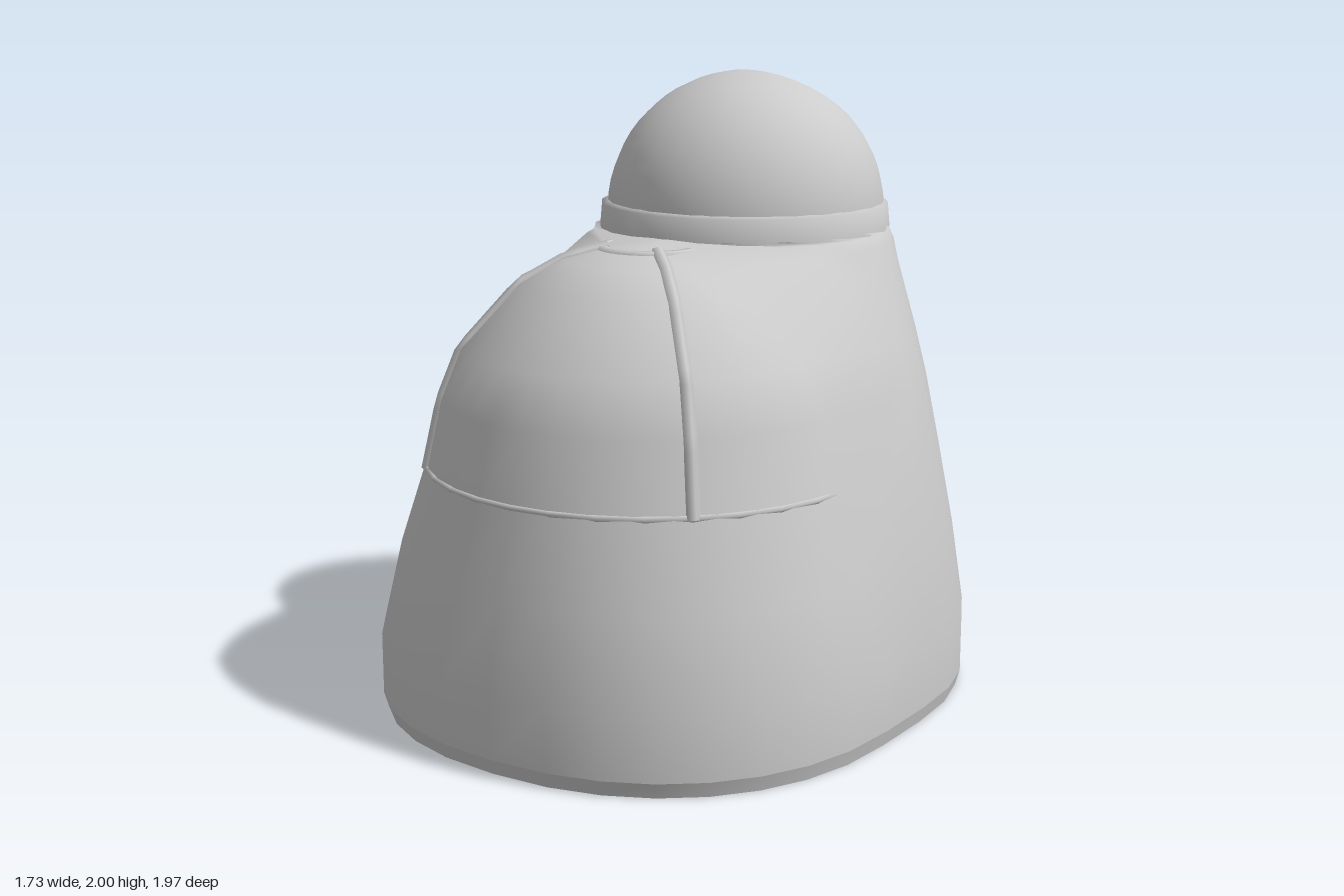
import * as THREE from 'three';

const grey = new THREE.MeshStandardMaterial({ color: 0xcccccc });
const doubleGrey = new THREE.MeshStandardMaterial({ color: 0xcccccc, side: THREE.DoubleSide });
const NB = 8, NF = 8; // segments of the back and front arcs, per half

// Outline around a front circle and a back circle, joined by their tangents
function section({ y, zf, rf, zb, rb, p = 1 }) {
  const split = Math.asin(Math.min(1, (rb - rf) / (zf - zb)));
  const pow = v => Math.sign(v) * Math.abs(v) ** p;
  const half = [];
  const arc = (z, r, from, to, n) => {
    for (let i = 0; i <= n; i++) {
      const a = from + (to - from) * i / n;
      half.push([r * pow(Math.max(0, Math.cos(a))), y, z + r * pow(Math.sin(a))]);
    }
  };
  arc(zb, rb, -Math.PI / 2, split, NB);
  arc(zf, rf, split, Math.PI / 2, NF);
  const mirrored = half.slice(1, -1).reverse().map(([x, h, z]) => [-x, h, z]);
  return [...half, ...mirrored];
}

// Skin between outlines, listed from bottom to top
function loft(rings) {
  const n = rings[0].length, index = [];
  for (let r = 0; r < rings.length - 1; r++) {
    for (let i = 0; i < n; i++) {
      const a = r * n + i, b = r * n + (i + 1) % n;
      index.push(a, a + n, b, b, a + n, b + n);
    }
  }
  const geo = new THREE.BufferGeometry();
  geo.setAttribute('position', new THREE.Float32BufferAttribute(rings.flat(2), 3));
  geo.setIndex(index);
  geo.computeVertexNormals();
  return geo;
}

// Dome profile: radius and height around the axis z = DOME_Z
const DOME_Z = 0.15;
const domeProfile = [[0.72, 0.8], [0.67, 1.02], [0.605, 1.18], [0.42, 1.38], [0.28, 1.455], [0.14, 1.488]];

export function createModel() {
  const model = new THREE.Group();
  const add = (name, geo, material = grey) => {
    const mesh = new THREE.Mesh(geo, material);
    mesh.name = name;
    model.add(mesh);
    return mesh;
  };

  // Body: rounded footprint rising into a front dome and a rear neck
  const foot = { zf: 0.12, rf: 0.865, zb: -0.12, rb: 0.865, p: 0.9 };
  const back = [[-0.17, 0.77], [-0.21, 0.705], [-0.24, 0.65], [-0.33, 0.55], [-0.36, 0.515], [-0.375, 0.495]];
  const rings = [
    { ...foot, y: 0.05 },
    { ...foot, y: 0.25 },
    { y: 0.53, zf: 0.135, rf: 0.8, zb: -0.145, rb: 0.82, p: 0.94 },
    ...domeProfile.map(([rf, y], i) => ({ y, zf: DOME_Z, rf, zb: back[i][0], rb: back[i][1] })),
    { y: 1.5, zf: 0.1, rf: 0, zb: -0.385, rb: 0.485 },
  ];
  add('body', loft(rings.map(section)));

  // Bevelled base rim and flat underside
  const rimTop = section({ ...foot, y: 0.05 });
  const rimBottom = rimTop.map(([x, , z]) => [x * 0.985, 0, z * 0.985]);
  add('baseRim', loft([rimBottom, rimTop]));
  const outline = new THREE.Shape(rimBottom.map(([x, , z]) => new THREE.Vector2(x, z)));
  add('underside', new THREE.ShapeGeometry(outline).rotateX(Math.PI / 2));

  // Neck collar
  const collar = [[0.485, 1.49], [0.478, 1.57], [0.445, 1.58]].map(q => new THREE.Vector2(...q));
  add('collar', new THREE.LatheGeometry(collar, 24), doubleGrey).position.z = -0.392;

  // Head: a sphere with a flat disc sliced off its upper back
  const R = 0.462, cut = 0.36, tilt = -0.693;
  const head = new THREE.Group();
  head.name = 'head';
  const ball = new THREE.Mesh(
    new THREE.SphereGeometry(R, 32, 16, 0, Math.PI * 2, Math.acos(cut / R), 2.4 - Math.acos(cut / R)), grey);
  ball.name = 'headShell';
  const disc = new THREE.Mesh(
    new THREE.CircleGeometry(Math.sqrt(R * R - cut * cut), 32).rotateX(-Math.PI / 2).translate(0, cut, 0), grey);
  disc.name = 'headFlat';
  head.add(ball, disc);
  head.position.set(0, 1.54, -0.4);
  head.rotation.x = tilt;
  model.add(head);

  // Dome frame: ribs following the dome profile
  const path = points => {
    const curve = new THREE.CurvePath();
    for (let i = 1; i < points.length; i++) curve.add(new THREE.LineCurve3(points[i - 1], points[i]));
    return curve;
  };
  const onDome = (angle, r, y) => new THREE.Vector3(r * Math.sin(angle), y, DOME_Z + r * Math.cos(angle));
  const rib = (name, angle, radius) => add(name,
    new THREE.TubeGeometry(path(domeProfile.map(([r, y]) => onDome(angle, r - 0.008, y - 0.006))), 20, radius, 6));
  for (const side of [-1, 1]) {
    rib('diagonalRib', side * Math.PI / 4, 0.024);
    rib('sideRib', side * Math.PI / 2, 0.012);
  }

  // Half ring at the dome top and the sill at its foot
  const halfRing = (name, r, y, tube) => add(name,
    new THREE.TorusGeometry(r, tube, 6, 16, Math.PI).rotateX(Math.PI / 2).translate(0, y, DOME_Z));
  halfRing('domeTopRing', 0.155, 1.472, 0.022);
  halfRing('domeSill', 0.715, 0.8, 0.011);

  return model;
}
